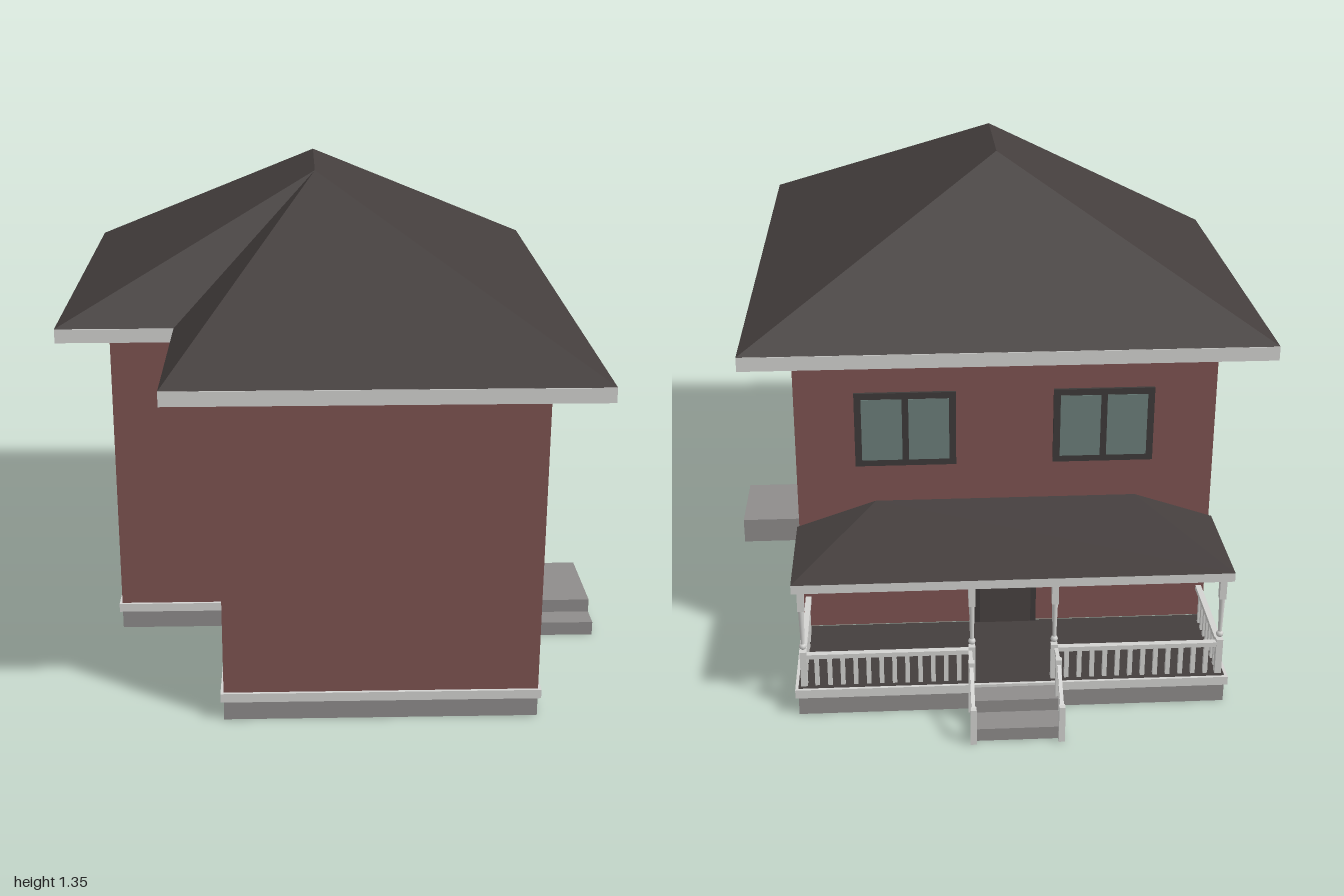
import * as THREE from 'three';

const mat = (name, color, side = THREE.FrontSide) => {
  const m = new THREE.MeshStandardMaterial({ color, side });
  m.name = name;
  return m;
};

export function createModel() {
  const house = new THREE.Group();
  house.name = 'house';
  const brick = mat('brick red', 0x7d5351, THREE.DoubleSide);
  const shingle = mat('dark shingle', 0x443e3d, THREE.DoubleSide);
  const white = mat('off white trim', 0xd2d2d0, THREE.DoubleSide);
  const concrete = mat('concrete grey', 0x8e8c8b, THREE.DoubleSide);
  const frameMat = mat('charcoal frame', 0x3d3a39);
  const doorMat = mat('door brown', 0x484140);
  const glass = mat('window glass', 0x6b7e7a);

  const add = (name, geo, material, parent = house) => {
    const m = new THREE.Mesh(geo, material);
    m.name = name;
    parent.add(m);
    return m;
  };
  // box given by its minimum and maximum corners
  const box = (name, a, b, material, parent) => {
    const m = add(name, new THREE.BoxGeometry(b[0] - a[0], b[1] - a[1], b[2] - a[2]), material, parent);
    m.position.set((a[0] + b[0]) / 2, (a[1] + b[1]) / 2, (a[2] + b[2]) / 2);
    return m;
  };
  // flat polygons, each split into a fan
  const facets = (polys) => {
    const p = [];
    for (const f of polys)
      for (let i = 1; i < f.length - 1; i++) p.push(...f[0], ...f[i], ...f[i + 1]);
    const g = new THREE.BufferGeometry();
    g.setAttribute('position', new THREE.Float32BufferAttribute(p, 3));
    g.computeVertexNormals();
    return g;
  };

  // L-shaped floor plan, grown by d, with a chosen back edge
  const BACK = -0.53, PORCH = -0.84;
  const plan = (d, back) => [
    [-0.622 - d, 0.355 + d], [-0.303 - d, 0.355 + d], [-0.303 - d, 0.87 + d],
    [0.524 + d, 0.87 + d], [0.524 + d, back - d], [-0.622 - d, back - d],
  ];
  const strip = (pts, y0, y1) => facets(pts.map(([x, z], i) => {
    const [u, w] = pts[(i + 1) % pts.length];
    return [[x, y0, z], [u, y0, w], [u, y1, w], [x, y1, z]];
  }));
  const slab = (pts, y0, y1, hole) => {
    const s = new THREE.Shape(pts.map((p) => new THREE.Vector2(...p)));
    if (hole) s.holes.push(new THREE.Path(hole.map((p) => new THREE.Vector2(...p))));
    const g = new THREE.ExtrudeGeometry(s, { depth: y1 - y0, bevelEnabled: false });
    return g.rotateX(Math.PI / 2).translate(0, y1, 0);
  };

  // shell
  add('foundation', strip(plan(0, PORCH), 0, 0.055), concrete);
  add('baseTrim', slab(plan(0.008, PORCH), 0.055, 0.08, plan(0, PORCH)), white);
  add('walls', strip(plan(0, BACK), 0.08, 0.925), brick);
  add('eaves', slab(plan(0.13, BACK), 0.922, 0.96), white);

  // main hip roof
  const [L, LI, FI, FR, BR, BL] = plan(0.13, BACK).map(([x, z]) => [x, 0.961, z]);
  const ridgeF = [-0.05, 1.345, 0.265], ridgeB = [-0.05, 1.345, -0.08];
  add('mainRoof', facets([
    [BL, L, ridgeF, ridgeB], [L, LI, ridgeF], [LI, FI, ridgeF],
    [FI, FR, ridgeF], [FR, BR, ridgeB, ridgeF], [BR, BL, ridgeB],
  ]), shingle);

  // openings are built facing +z, then turned onto their wall
  const mount = (name, x, y, z, turn) => {
    const g = new THREE.Group();
    g.name = name;
    g.position.set(x, y, z);
    g.rotation.y = turn;
    house.add(g);
    return g;
  };
  const addWindow = (name, x, y, z, turn, w, h) => {
    const g = mount(name, x, y, z, turn);
    box('windowFrame', [-w / 2, -h / 2, 0], [w / 2, h / 2, 0.008], frameMat, g);
    for (const s of [-1, 1]) {
      const c = s * w * 0.232, pw = w * 0.2, ph = h / 2 - 0.018;
      box('windowPane', [c - pw, -ph, 0.007], [c + pw, ph, 0.0095], glass, g);
    }
  };
  const addDoor = (name, x, z, turn, h) => {
    const g = mount(name, x, 0.08, z, turn);
    box('doorFrame', [-0.0875, 0, 0], [0.0875, h, 0.008], frameMat, g);
    box('doorPanel', [-0.072, 0, 0.007], [0.072, h - 0.015, 0.0095], doorMat, g);
  };
  const Q = Math.PI / 2;
  addWindow('rightWindow', 0.524, 0.72, -0.135, Q, 0.27, 0.152);
  addWindow('leftWindow', -0.622, 0.72, -0.24, -Q, 0.27, 0.152);
  for (const x of [0.225, -0.315]) addWindow('backWindow', x, 0.693, BACK, Math.PI, 0.275, 0.215);
  addDoor('sideDoor', 0.524, 0.247, Q, 0.32);
  addDoor('porchDoor', -0.05, BACK, Math.PI, 0.3);

  // side landing and step
  box('sideLanding', [0.524, 0, 0.118], [0.755, 0.079, 0.368], concrete);
  box('sideStep', [0.524, 0, 0.368], [0.755, 0.04, 0.435], concrete);

  // porch deck and roof
  add('porchDeck', facets([[
    [-0.622, 0.078, PORCH], [-0.622, 0.078, BACK], [0.524, 0.078, BACK], [0.524, 0.078, PORCH],
  ]]), shingle);
  const x0 = -0.63, x1 = 0.53, ze = -0.848, ye = 0.4;
  const topL = [-0.41, 0.475, BACK], topR = [0.31, 0.475, BACK];
  add('porchRoof', facets([
    [[x0, ye, ze], topL, topR, [x1, ye, ze]],
    [[x0, ye, ze], [x0, ye, BACK], topL],
    [[x1, ye, BACK], [x1, ye, ze], topR],
  ]), shingle);
  box('porchFascia', [x0, 0.375, ze], [x1, ye, ze + 0.012], white);
  box('porchFascia', [x0, 0.375, ze], [x0 + 0.012, ye, BACK], white);
  box('porchFascia', [x1 - 0.012, 0.375, ze], [x1, ye, BACK], white);

  // turned porch posts
  const zp = -0.82, postX = [0.508, 0.06, -0.16, -0.606];
  const post = (x) => {
    const g = mount('porchPost', x, 0, zp, 0);
    box('postBase', [-0.009, 0.08, -0.009], [0.009, 0.185, 0.009], white, g);
    add('postCollar', new THREE.SphereGeometry(0.01, 10, 6), white, g).position.y = 0.2;
    add('postShaft', new THREE.CylinderGeometry(0.008, 0.005, 0.12, 10), white, g).position.y = 0.255;
    box('postTop', [-0.009, 0.31, -0.009], [0.009, 0.385, 0.009], white, g);
  };
  postX.forEach(post);

  // railings with evenly spaced balusters, along x or along z
  const railing = (xa, za, xb, zb) => {
    const g = new THREE.Group();
    g.name = 'porchRailing';
    house.add(g);
    const t = 0.008;
    box('topRail', [Math.min(xa, xb) - t, 0.163, Math.min(za, zb) - t],
      [Math.max(xa, xb) + t, 0.176, Math.max(za, zb) + t], white, g);
    const n = Math.round(Math.hypot(xb - xa, zb - za) / 0.034);
    for (let i = 1; i < n; i++) {
      const x = xa + (xb - xa) * i / n, z = za + (zb - za) * i / n;
      box('baluster', [x - 0.006, 0.08, z - 0.006], [x + 0.006, 0.165, z + 0.006], white, g);
    }
  };
  railing(postX[0], zp, postX[1], zp);
  railing(postX[2], zp, postX[3], zp);
  railing(postX[0], zp, postX[0], BACK - 0.008);
  railing(postX[3], zp, postX[3], BACK - 0.008);

  // porch steps
  box('porchStepUpper', [-0.165, 0, -0.91], [0.065, 0.072, PORCH], concrete);
  box('porchStepLower', [-0.165, 0, -0.983], [0.065, 0.036, -0.91], concrete);

  // stair newels and sloping handrails
  for (const x of [0.065, -0.165]) {
    box('upperNewel', [x - 0.008, 0.03, -0.9], [x + 0.008, 0.183, -0.884], white);
    box('lowerNewel', [x - 0.008, 0, -0.999], [x + 0.008, 0.105, -0.983], white);
    box('levelHandrail', [x - 0.005, 0.165, -0.892], [x + 0.005, 0.176, zp], white);
    const dy = 0.075, dz = 0.099;
    const rail = add('slopingHandrail', new THREE.BoxGeometry(0.01, 0.01, Math.hypot(dy, dz)), white);
    rail.position.set(x, 0.132, -0.942);
    rail.rotation.x = -Math.atan2(dy, dz);
  }
  return house;
}
